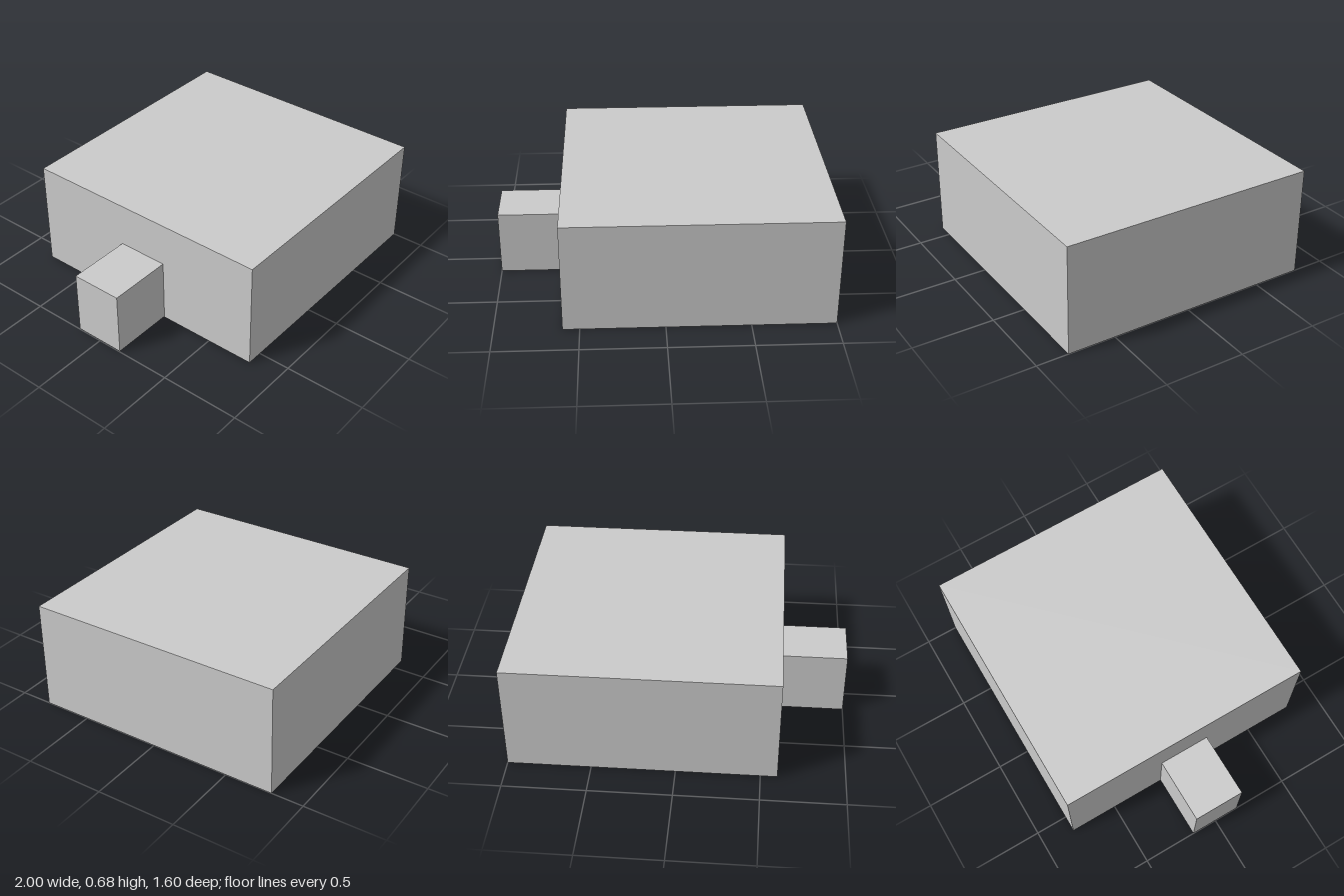
import * as THREE from 'three';

const material = new THREE.MeshStandardMaterial({ color: 0xcccccc, flatShading: true });

// Box given by its minimum and maximum corners
function box(name, min, max) {
  const size = max.map((v, i) => v - min[i]);
  const mesh = new THREE.Mesh(new THREE.BoxGeometry(...size), material);
  mesh.position.set(...max.map((v, i) => (v + min[i]) / 2));
  mesh.name = name;
  return mesh;
}

export function createModel() {
  const model = new THREE.Group();
  model.name = 'blockWithSideBox';

  // Large main block
  model.add(box('mainBlock', [-0.6, 0, -0.8], [1, 0.68, 0.8]));

  // Small box against the right side, a hair above the ground
  model.add(box('sideBox', [-1, 0.005, -0.162], [-0.6, 0.405, 0.157]));

  return model;
}
